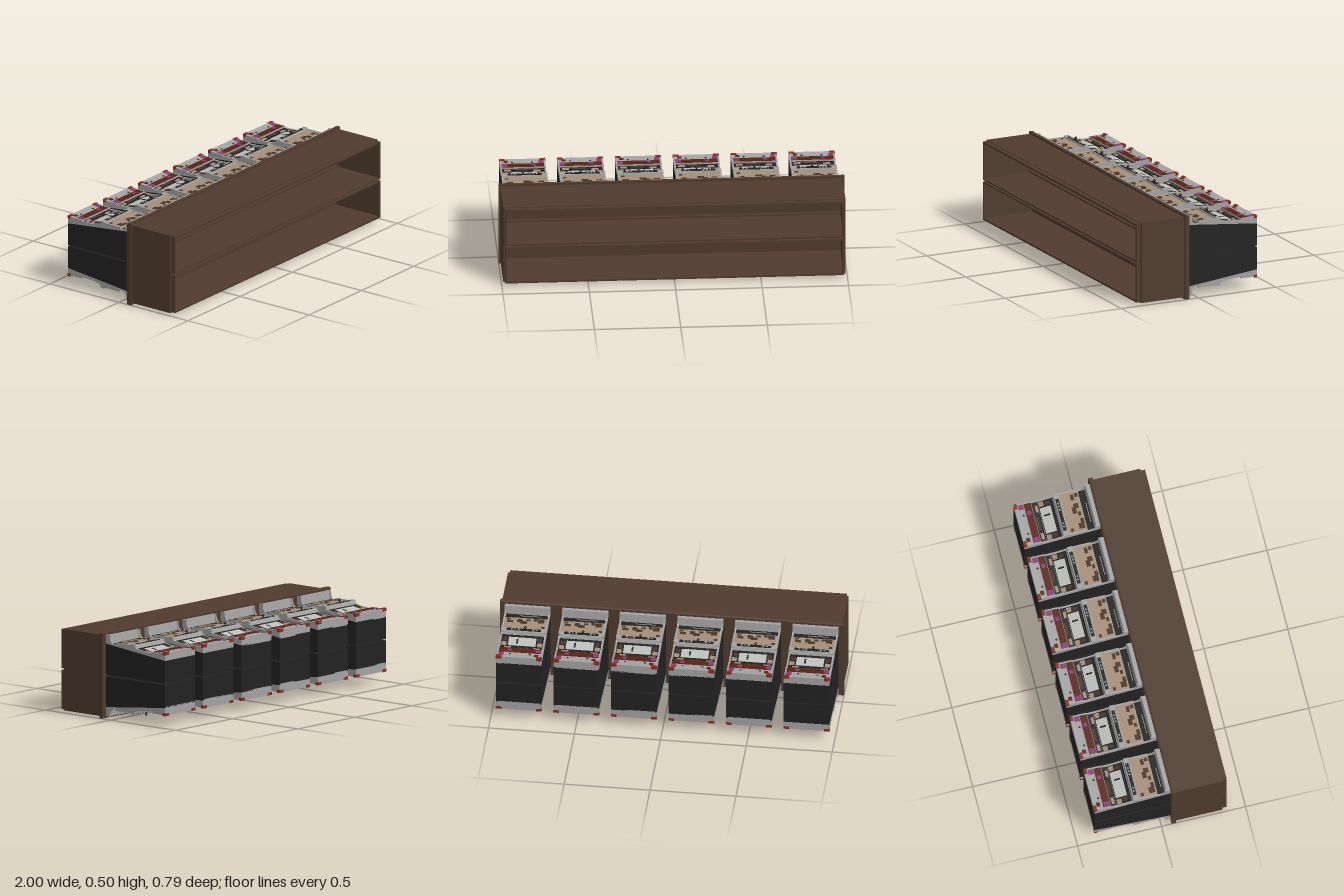
import * as THREE from 'three';

const mat = (name, color) => new THREE.MeshStandardMaterial({ name, color });

export function createModel() {
  const M = {
    wood: mat('brown wood', 0x503b2e),
    black: mat('black panel', 0x222222),
    gray: mat('gray trim', 0xa3a3a3),
    red: mat('red', 0x8c2a1e),
    maroon: mat('dark red', 0x5a2212),
    tan: mat('tan', 0xa68e78),
    umber: mat('dark brown', 0x4a3424),
    magenta: mat('magenta', 0x8a3a74),
    screen: mat('pale screen', 0xbcbfba),
  };
  const MID = 0.252, W = 0.265, T = 0.01;

  const add = (parent, name, geo, m) => {
    const mesh = new THREE.Mesh(geo, m);
    mesh.name = name;
    parent.add(mesh);
    return mesh;
  };
  // box given by its limits
  const box = (parent, name, m, x0, x1, y0, y1, z0, z1) => {
    const g = new THREE.BoxGeometry(x1 - x0, y1 - y0, z1 - z0);
    g.translate((x0 + x1) / 2, (y0 + y1) / 2, (z0 + z1) / 2);
    return add(parent, name, g, m);
  };
  // outline in (z, y), extruded along x and centred on x
  const slab = (pts, width) => {
    const g = new THREE.ExtrudeGeometry(
      new THREE.Shape(pts.map(p => new THREE.Vector2(...p))), { depth: width, bevelEnabled: false });
    g.translate(0, 0, -width / 2);
    return g.rotateY(-Math.PI / 2);
  };

  // cabinet side outline, with the lower edge on the body's slope
  const sidePts = [
    [0.06, 0.186], [0.06, 0.238], [0.03, 0.241], [0.029, 0.22], [0.024, 0.204], [0.014, 0.193],
    [0.002, 0.188], [-0.013, 0.187], [-0.013, 0.2], [-0.125, 0.2], [-0.127, 0.206],
    [-0.157, 0.206], [-0.157, 0.189], [-0.175, 0.182], [-0.21, 0.176], [-0.25, 0.173], [-0.29, 0.172],
    [-0.29, 0.18], [-0.35, 0.181], [-0.392, 0.185], [-0.392, 0.138]];
  // recessed face between the sides
  const facePts = [
    [0.06, 0.18], [0.06, 0.236], [0.036, 0.238], [0.03, 0.187], [-0.013, 0.183],
    [-0.013, 0.195], [-0.125, 0.195], [-0.127, 0.204], [-0.157, 0.204], [-0.165, 0.18],
    [-0.255, 0.163], [-0.29, 0.169], [-0.29, 0.179], [-0.35, 0.18], [-0.392, 0.184], [-0.392, 0.132]];
  const bodyPts = [[0.06, 0.004], [0.06, 0.186], [-0.392, 0.138], [-0.392, 0.004]];
  const sideGeo = slab(sidePts, T), faceGeo = slab(facePts, W - 2 * T), bodyGeo = slab(bodyPts, W);

  // thin plate lying on a slope of the face
  const faceY = z => {
    for (let i = 1; i < facePts.length - 2; i++) {
      const [za, ya] = facePts[i], [zb, yb] = facePts[i + 1];
      if (z < za && z >= zb) return ya + (yb - ya) * (z - za) / (zb - za);
    }
    return facePts[1][1];
  };
  const plate = (parent, name, m, x0, x1, z0, z1, lift = 0.001) => {
    const y0 = faceY(z0 + 1e-5), y1 = faceY(z1 - 1e-5);
    const p = add(parent, name, new THREE.BoxGeometry(x1 - x0, 0.002, Math.hypot(z1 - z0, y1 - y0)), m);
    p.position.set((x0 + x1) / 2, (y0 + y1) / 2 + lift, (z0 + z1) / 2);
    p.rotation.x = -Math.atan2(y1 - y0, z1 - z0);
    return p;
  };

  function machine() {
    const g = new THREE.Group();
    g.name = 'arcadeCabinet';
    add(g, 'body', bodyGeo, M.black);
    add(g, 'face', faceGeo, M.gray);
    for (const s of [-1, 1]) {
      add(g, 'sidePanel', sideGeo, M.gray).position.x = s * (W - T) / 2;
      // red corner caps
      const c = s * 0.117;
      box(g, 'cornerCap', M.red, c - 0.0165, c + 0.0165, 0.17, 0.187, -0.393, -0.375);
    }
    const e = W / 2 - T;
    // marquee
    plate(g, 'marqueeBand', M.maroon, -e, e, -0.335, -0.293);
    plate(g, 'marqueePatch', M.magenta, -e, -0.09, -0.33, -0.296, 0.002);
    plate(g, 'marqueePatch', M.magenta, 0.092, e, -0.37, -0.338);
    plate(g, 'marqueePatch', M.magenta, 0.05, 0.075, -0.327, -0.304, 0.002);
    plate(g, 'marqueePatch', M.maroon, -0.11, -0.085, -0.372, -0.35);
    for (const x of [-0.06, 0.055])
      plate(g, 'marqueeDot', M.black, x - 0.005, x + 0.005, -0.357, -0.346);
    // bezel and screen
    plate(g, 'upperBezel', M.black, -e, e, -0.289, -0.256);
    plate(g, 'bezelPatch', M.tan, -0.11, -0.07, -0.282, -0.264, 0.002);
    plate(g, 'bezelPatch', M.umber, -0.05, 0.03, -0.286, -0.27, 0.002);
    plate(g, 'bezelPatch', M.tan, 0.06, 0.1, -0.275, -0.259, 0.002);
    plate(g, 'screenBezel', M.black, -e, e, -0.254, -0.166);
    for (const s of [-1, 1]) {
      plate(g, 'bezelSideArt', M.tan, s * 0.104 - 0.015, s * 0.104 + 0.015, -0.25, -0.222, 0.002);
      plate(g, 'bezelSideArt', M.umber, s * 0.1 - 0.012, s * 0.1 + 0.012, -0.216, -0.186, 0.002);
    }
    plate(g, 'screen', M.screen, -0.08, 0.08, -0.25, -0.185, 0.003);
    plate(g, 'screenFigure', M.black, 0.024, 0.034, -0.235, -0.2, 0.004);
    // control deck
    plate(g, 'controlPanel', M.black, -0.1, 0.1, -0.152, -0.132);
    for (const x of [-0.075, -0.055, 0.03, 0.05, 0.07])
      plate(g, 'button', M.gray, x - 0.005, x + 0.005, -0.147, -0.138, 0.003);
    const stick = add(g, 'joystickStem', new THREE.CylinderGeometry(0.0025, 0.0035, 0.018, 10), M.black);
    stick.position.set(-0.01, 0.212, -0.141);
    add(g, 'joystickBall', new THREE.SphereGeometry(0.008, 14, 10), M.black).position.set(-0.01, 0.221, -0.141);
    // front door art
    plate(g, 'door', M.tan, -e, e, -0.122, -0.017);
    const spots = [[-0.09, -0.04, 0.035, 0.035], [-0.06, -0.03, 0.03, 0.02], [-0.105, -0.1, 0.02, 0.016],
      [0.01, -0.06, 0.04, 0.025], [0.035, -0.045, 0.03, 0.03], [0.09, -0.055, 0.035, 0.02],
      [0.1, -0.03, 0.022, 0.02], [-0.015, -0.035, 0.025, 0.016]];
    for (const [x, z, w, d] of spots)
      plate(g, 'doorSpot', M.umber, x - w / 2, x + w / 2, z - d / 2, Math.min(z + d / 2, -0.019), 0.002);
    // kick recess
    plate(g, 'kickPanel', M.black, -e, e, -0.012, 0.029);
    plate(g, 'kickPlate', M.gray, -0.08, 0.04, 0.014, 0.018, 0.002);
    return g;
  }

  // one half: open plinth with six cabinets, y measured from the middle plane
  function half() {
    const g = new THREE.Group();
    const plinth = new THREE.Group();
    plinth.name = 'plinth';
    g.add(plinth);
    const w = M.wood, t = 0.013;
    box(plinth, 'backPanel', w, -0.985, 0.985, 0, 0.239, 0.062, 0.075);
    box(plinth, 'outerWall', w, -0.99, 0.99, 0.239 - t, 0.239, 0.062, 0.366);
    box(plinth, 'middleWall', w, -0.98, 0.98, 0, 0.012, 0.062, 0.366);
    box(plinth, 'outerLip', w, -0.98, 0.98, 0.224, 0.235, 0.36, 0.393);
    box(plinth, 'middleLip', w, -0.98, 0.98, 0.005, 0.014, 0.36, 0.393);
    box(plinth, 'innerLedge', w, -0.978, 0.978, 0.012, 0.022, 0.075, 0.095);
    for (const s of [-1, 1]) {
      const at = (a, b) => s > 0 ? [a, b] : [-b, -a];
      box(plinth, 'endWall', w, ...at(0.977, 0.99), 0, 0.239, 0.062, 0.366);
      box(plinth, 'endLip', w, ...at(0.97, 0.98), 0.005, 0.235, 0.36, 0.393);
      box(plinth, 'endFlange', w, ...at(0.985, 1), 0, 0.25, 0.06, 0.086);
    }
    // bevelled top flange
    add(plinth, 'topFlange', slab([[0.06, 0.23], [0.086, 0.23], [0.086, 0.252], [0.07, 0.252], [0.06, 0.248]], 2), w);
    for (let i = 0; i < 6; i++) {
      const m = machine();
      m.position.x = (i - 2.5) * 0.335;
      g.add(m);
    }
    return g;
  }

  const model = new THREE.Group();
  model.name = 'arcadeRow';
  const upper = half(), lower = half();
  upper.name = 'upperRow';
  lower.name = 'lowerRow';
  upper.position.y = lower.position.y = MID;
  lower.rotation.z = Math.PI;
  model.add(upper, lower);
  return model;
}
